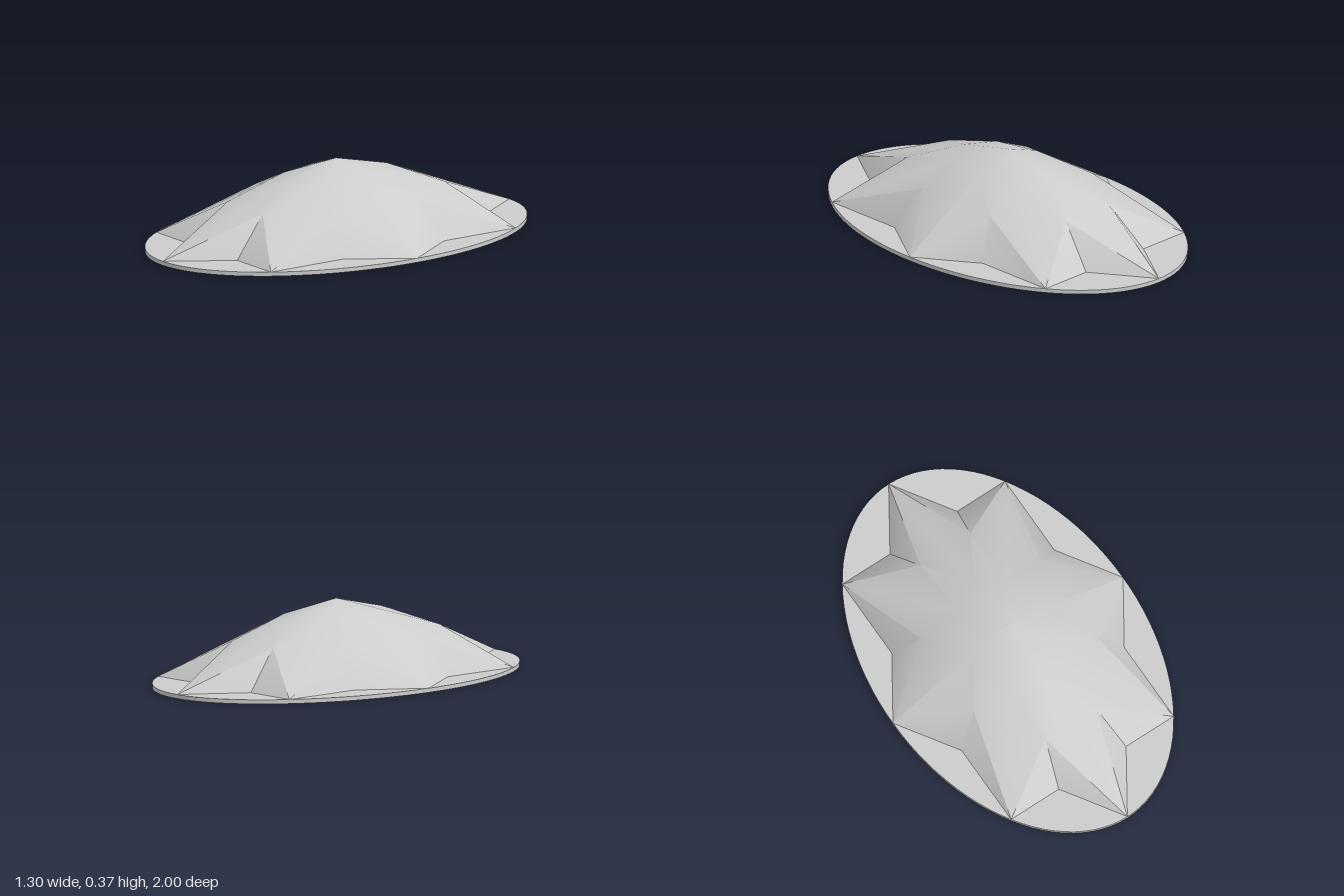
import * as THREE from 'three';
import { toCreasedNormals } from 'three/addons/utils/BufferGeometryUtils.js';

const WIDTH = 0.65; // half-width relative to half-length
const BASE = 0.02;  // thickness of the oval plate
const STEP = Math.PI / 4;

export function createModel() {
  const group = new THREE.Group();
  group.name = 'facetedOvalStar';
  const grey = new THREE.MeshStandardMaterial({ color: 0xcccccc });
  grey.name = 'grey';

  // Thin oval plate
  const plateGeo = new THREE.CylinderGeometry(1, 1, BASE, 96);
  plateGeo.scale(WIDTH, 1, 1).translate(0, BASE / 2, 0);
  const plate = new THREE.Mesh(plateGeo, grey);
  plate.name = 'ovalPlate';
  group.add(plate);

  // Eight-pointed faceted dome: rings of points from the apex outwards
  const ring = (r, y, offset) => (i) => {
    const a = (i + offset) * STEP;
    return [WIDTH * r * Math.sin(a), y, r * Math.cos(a)];
  };
  const apex = [0, 0.37, 0];
  const crown = ring(0.29, 0.303, 0);
  const shoulder = ring(0.568, 0.207, 0.5);
  const tip = ring(1, BASE, 0);
  const notch = ring(0.765, BASE, 0.5);

  const points = [];
  const face = (...corners) => corners.forEach((c) => points.push(...c));
  for (let i = 0; i < 8; i++) {
    face(apex, crown(i), crown(i + 1));               // cap
    face(crown(i), shoulder(i), crown(i + 1));        // star facet
    face(crown(i), shoulder(i - 1), tip(i));          // kite, first half
    face(crown(i), tip(i), shoulder(i));              // kite, second half
    face(shoulder(i), tip(i), notch(i));              // steep notch sides
    face(shoulder(i), notch(i), tip(i + 1));
  }
  const domeGeo = new THREE.BufferGeometry();
  domeGeo.setAttribute('position', new THREE.Float32BufferAttribute(points, 3));
  const dome = new THREE.Mesh(toCreasedNormals(domeGeo, Math.PI / 6), grey);
  dome.name = 'starDome';
  group.add(dome);

  return group;
}
